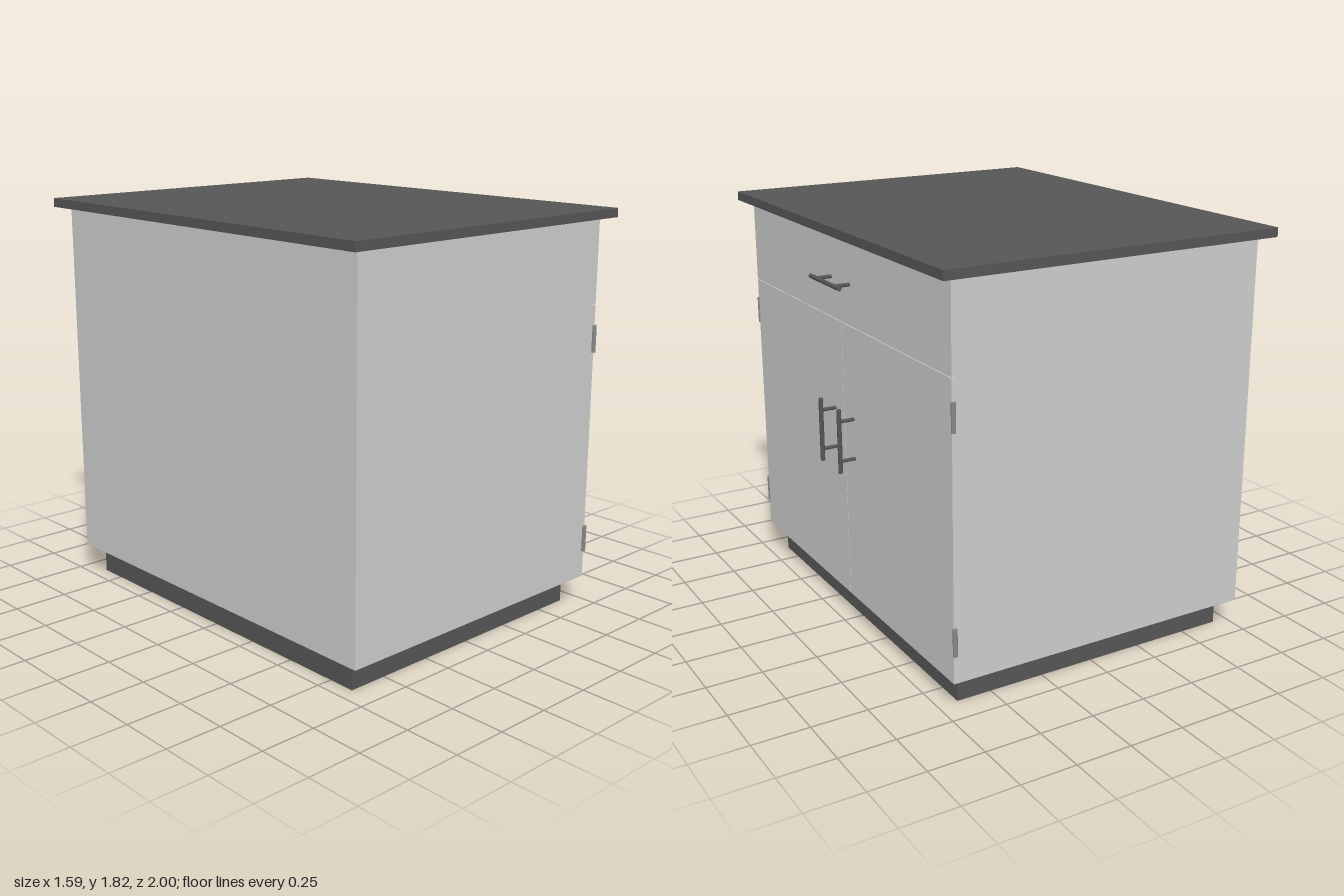
import * as THREE from 'three';

const light = new THREE.MeshStandardMaterial({ color: 0xcccccc });
const dark = new THREE.MeshStandardMaterial({ color: 0x555555 });
const steel = new THREE.MeshStandardMaterial({ color: 0x888888 });

// Box given by its minimum and maximum corners
function box(name, material, [x0, y0, z0], [x1, y1, z1]) {
  const mesh = new THREE.Mesh(new THREE.BoxGeometry(x1 - x0, y1 - y0, z1 - z0), material);
  mesh.name = name;
  mesh.position.set((x0 + x1) / 2, (y0 + y1) / 2, (z0 + z1) / 2);
  return mesh;
}

// Upright rod centred on its own origin
function rod(name, material, radius, length) {
  const mesh = new THREE.Mesh(new THREE.CylinderGeometry(radius, radius, length, 20), material);
  mesh.name = name;
  return mesh;
}

// Bar pull: a long bar held off the face by two posts
function barHandle(name) {
  const handle = new THREE.Group();
  handle.name = name;
  const bar = rod('handleBar', dark, 0.01, 0.288);
  bar.position.x = 0.07;
  handle.add(bar);
  for (const y of [-0.09, 0.09]) {
    const post = rod('handlePost', dark, 0.008, 0.07);
    post.rotation.z = Math.PI / 2;
    post.position.set(0.035, y, 0);
    handle.add(post);
  }
  return handle;
}

export function createModel() {
  const cabinet = new THREE.Group();
  cabinet.name = 'cabinet';
  const face = 0.715, back = 0.693, seam = 1.4, gap = 0.0015;

  // Plinth, carcass and worktop
  cabinet.add(
    box('plinth', dark, [-0.68, 0, -0.875], [0.658, 0.13, 0.875]),
    box('carcass', light, [-0.735, 0.13, -0.95], [back, 1.78, 0.95]),
    box('worktop', dark, [-0.795, 1.78, -1], [0.773, 1.82, 1]),
  );

  // Drawer across the full width
  cabinet.add(box('drawerFront', light, [back, seam + gap, -0.95], [face, 1.78, 0.95]));
  const drawerHandle = barHandle('drawerHandle');
  drawerHandle.rotation.x = Math.PI / 2;
  drawerHandle.position.set(face, 1.58, 0);
  cabinet.add(drawerHandle);

  // Mirrored doors with handles near the middle and hinges on the outer edges
  for (const side of [-1, 1]) {
    const z = [side * gap, side * 0.95].sort((a, b) => a - b);
    cabinet.add(box('door', light, [back, 0.13, z[0]], [face, seam - gap, z[1]]));

    const handle = barHandle('doorHandle');
    handle.position.set(face, 0.9, side * 0.093);
    cabinet.add(handle);

    for (const y of [0.315, 1.247]) {
      const hinge = rod('hinge', steel, 0.01, 0.122);
      hinge.position.set(0.71, y, side * 0.953);
      cabinet.add(hinge);
    }
  }
  return cabinet;
}
